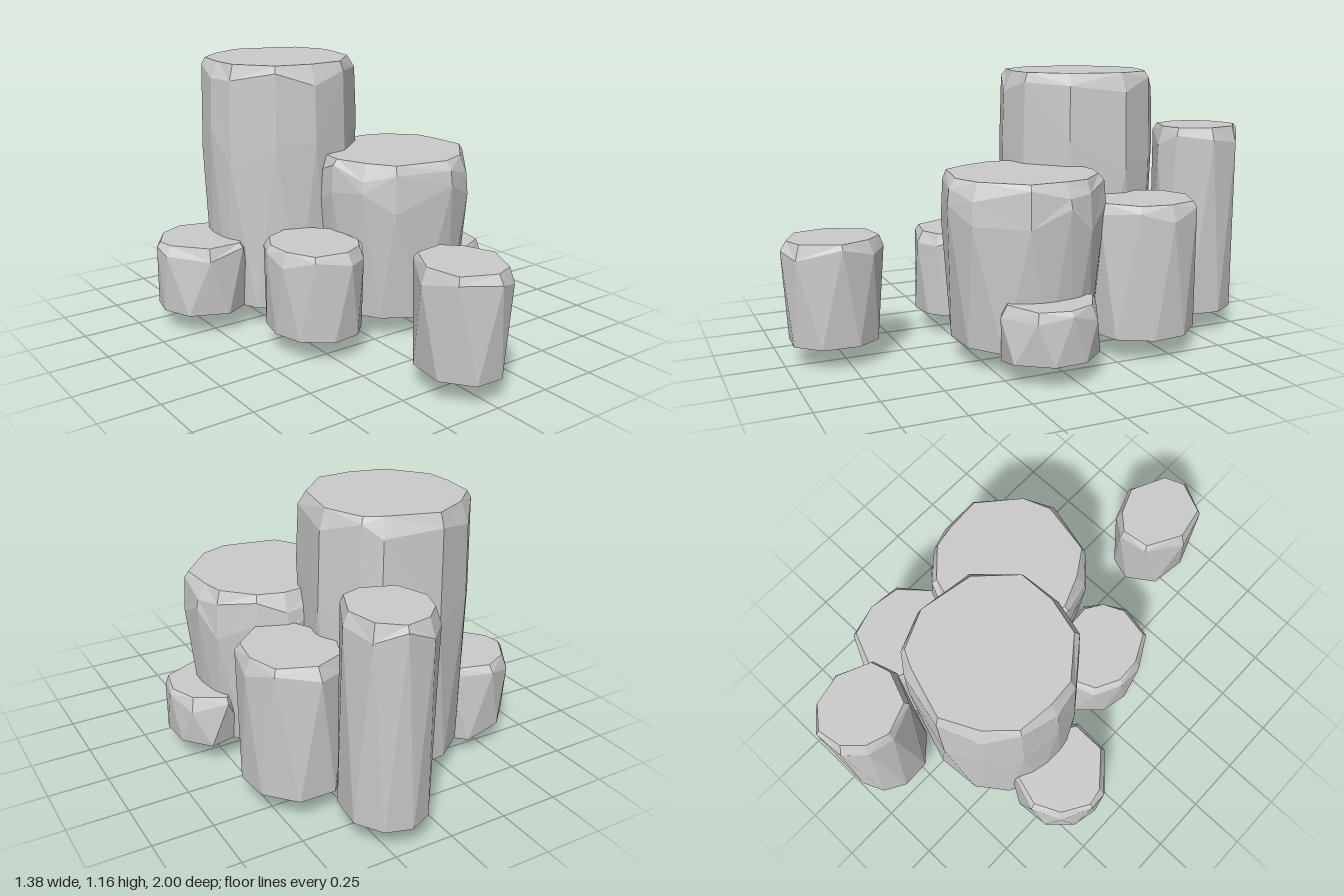
import * as THREE from 'three';

const BASE = 0.093;

// x, z: centre; rx, rz: half widths; top: height; foot: scale at the base
// corners: degrees around the centre, from +x towards +z; belly: height share of a bulge
// spikes: { foot corner: y } torn points on the open lower rim
const rocks = [
  { name: 'tallRock', x: -0.088, z: -0.35, rx: 0.345, rz: 0.343, top: 1.157, foot: 0.95, belly: 0.66,
    corners: [-97, -57, -43, -12, 31, 67, 95, 124, 159, 180, 207, 233] },
  { name: 'broadRock', x: 0.237, z: 0.06, rx: 0.339, rz: 0.344, top: 0.772, foot: 0.86, belly: 0.78,
    corners: [-79, -58, -29, -10, 18, 58, 82, 126, 150, 177, 195, 248] },
  { name: 'frontLeftRock', x: -0.235, z: 0.133, rx: 0.197, rz: 0.235, top: 0.46, foot: 0.96, spikes: { 1: 0.035 },
    corners: [227, 280, 335, 385, 409, 440, 486, 524, 554] },
  { name: 'sideRock', x: -0.475, z: -0.37, rx: 0.216, rz: 0.214, top: 0.395, foot: 0.97, spikes: { 2: 0.06, 3: 0.06 },
    corners: [188, 227, 263, 314, 368, 428, 471, 526] },
  { name: 'backRightRock', x: 0.375, z: -0.435, rx: 0.207, rz: 0.237, top: 0.65, foot: 0.98, spikes: { 6: 0 },
    corners: [228, 269, 317, 354, 390, 438, 482, 540] },
  { name: 'rearRock', x: 0.185, z: -0.808, rx: 0.176, rz: 0.198, top: 0.92, foot: 0.95,
    corners: [247, 285, 323, 366, 414, 445, 496, 540, 573] },
  { name: 'frontRock', x: -0.01, z: 0.79, rx: 0.18, rz: 0.21, top: 0.52, foot: 0.91,
    corners: [243, 288, 320, 360, 414, 447, 500, 546] },
  { name: 'smallRock', x: 0.525, z: 0.065, rx: 0.166, rz: 0.206, top: 0.307, foot: 0.98, spikes: { 4: 0.065, 5: 0.06 },
    corners: [265, 317, 356, 396, 458, 494, 552] },
];

// Faceted column: foot ring, optional belly ring, uneven shoulder ring, top rim and flat cap
function makeRock({ name, x, z, rx, rz, top, foot, corners, belly, spikes = {} }, seed) {
  const sides = corners.length;
  const wave = (i) => Math.sin(i * 2.4 + seed * 1.7);
  const place = (degrees, scale, y) => {
    const angle = THREE.MathUtils.degToRad(degrees);
    return [x + Math.cos(angle) * rx * scale, y, z + Math.sin(angle) * rz * scale];
  };
  const bevel = 0.035 + 0.02 * (top - BASE);

  // foot corners sit between the shoulder corners, giving long slanted facets
  const rings = [corners.map((angle, i) => {
    const next = i + 1 < sides ? corners[i + 1] : corners[0] + 360;
    return place((angle + next) / 2, foot, spikes[i] ?? BASE);
  })];
  if (belly) {
    rings.push(corners.map((angle, i) => place(angle, 1, BASE + (top - BASE) * (belly + 0.08 * wave(i + 2)))));
  }
  rings.push(corners.map((angle, i) => place(angle, belly ? 0.975 : 1, top - bevel * (1 + 0.55 * wave(i)))));
  rings.push(corners.map((angle, i) => place(angle, 0.9 + 0.03 * wave(i + 1), top)));

  const verts = rings.flat();
  verts.push([x, top, z]);
  const index = [];
  const rim = (rings.length - 1) * sides;
  for (let i = 0; i < sides; i++) {
    const j = (i + 1) % sides;
    for (let r = 0; r < rings.length - 1; r++) {
      const a = r * sides + i, b = r * sides + j, c = a + sides, d = b + sides;
      // alternate the diagonal above the foot for irregular facets
      if (r > 0 && i % 2) index.push(a, c, b, b, c, d);
      else index.push(a, c, d, a, d, b);
    }
    index.push(rim + i, verts.length - 1, rim + j);
  }

  const indexed = new THREE.BufferGeometry();
  indexed.setAttribute('position', new THREE.Float32BufferAttribute(verts.flat(), 3));
  indexed.setIndex(index);
  const geometry = indexed.toNonIndexed();
  geometry.computeVertexNormals();
  const material = new THREE.MeshStandardMaterial({ color: 0xcccccc, flatShading: true, side: THREE.DoubleSide });
  const mesh = new THREE.Mesh(geometry, material);
  mesh.name = name;
  return mesh;
}

export function createModel() {
  const group = new THREE.Group();
  group.name = 'rockCluster';
  rocks.forEach((rock, i) => group.add(makeRock(rock, i)));
  return group;
}
